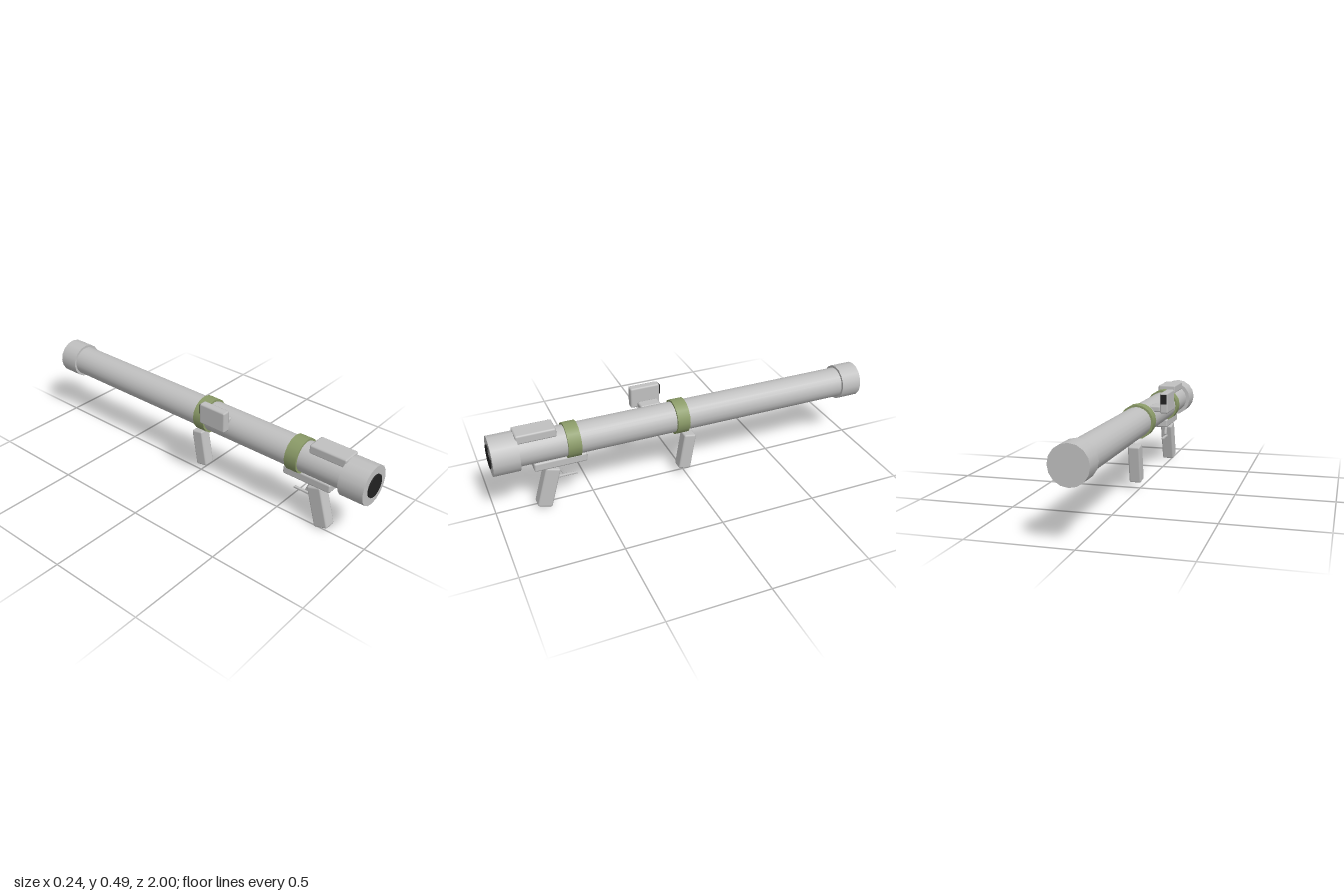
import * as THREE from 'three';
import { RoundedBoxGeometry } from 'three/addons/geometries/RoundedBoxGeometry.js';

const AXIS_X = 0.022, AXIS_Y = 0.352;

export function createModel() {
  const model = new THREE.Group();
  model.name = 'shoulderLauncher';

  const grey = new THREE.MeshStandardMaterial({ name: 'grey metal', color: 0xc0c0c0 });
  const green = new THREE.MeshStandardMaterial({ name: 'olive green', color: 0x8b9b68 });
  const dark = new THREE.MeshStandardMaterial({ name: 'black', color: 0x222222 });

  function add(name, geometry, material, x, y, z, tilt = 0) {
    const mesh = new THREE.Mesh(geometry, material);
    mesh.name = name;
    mesh.position.set(x, y, z);
    mesh.rotation.x = tilt;
    model.add(mesh);
    return mesh;
  }

  // Cylinder around the barrel axis, running from z0 to z1
  function ring(name, radius, z0, z1, material, sides = 16) {
    const geometry = new THREE.CylinderGeometry(radius, radius, z1 - z0, sides).rotateX(Math.PI / 2);
    return add(name, geometry, material, AXIS_X, AXIS_Y, (z0 + z1) / 2);
  }

  // Box with softened edges
  function block(name, [w, h, d], [x, y, z], tilt = 0, bevel = 0.009) {
    return add(name, new RoundedBoxGeometry(w, h, d, 1, bevel), grey, x, y, z, tilt);
  }

  // Barrel, end collars, bore and bands
  ring('barrel', 0.079, -0.97, 0.95, grey, 24);
  ring('muzzleCollar', 0.1, 0.865, 0.994, grey);
  ring('rearCap', 0.092, -1, -0.89, grey);
  ring('bore', 0.058, 0.992, 1, dark, 24);
  ring('middleBand', 0.09, 0.003, 0.069, green);
  ring('frontBand', 0.09, 0.566, 0.632, green);

  // Top plate and trigger housing
  block('topPlate', [0.102, 0.047, 0.198], [AXIS_X, 0.434, 0.773]);
  block('triggerHousing', [0.078, 0.046, 0.266], [AXIS_X, 0.253, 0.663]);

  // Slanted grips
  block('triggerGrip', [0.067, 0.22, 0.077], [AXIS_X, 0.116, 0.733], -0.28);
  block('supportGrip', [0.063, 0.2, 0.067], [AXIS_X, 0.138, -0.007], -0.17);

  // Trigger and guard bar
  block('trigger', [0.014, 0.06, 0.012], [AXIS_X, 0.193, 0.66], 0.38, 0.003);
  block('triggerGuard', [0.014, 0.011, 0.108], [AXIS_X, 0.152, 0.633], 0, 0.003);

  // Side sight, its bracket and the eyepiece
  block('sight', [0.043, 0.11, 0.156], [-0.101, 0.441, 0.171]);
  block('sightBracket', [0.06, 0.033, 0.108], [-0.047, 0.406, 0.164]);
  add('eyepiece', new THREE.BoxGeometry(0.03, 0.05, 0.008), dark, -0.101, 0.461, 0.092);

  return model;
}
